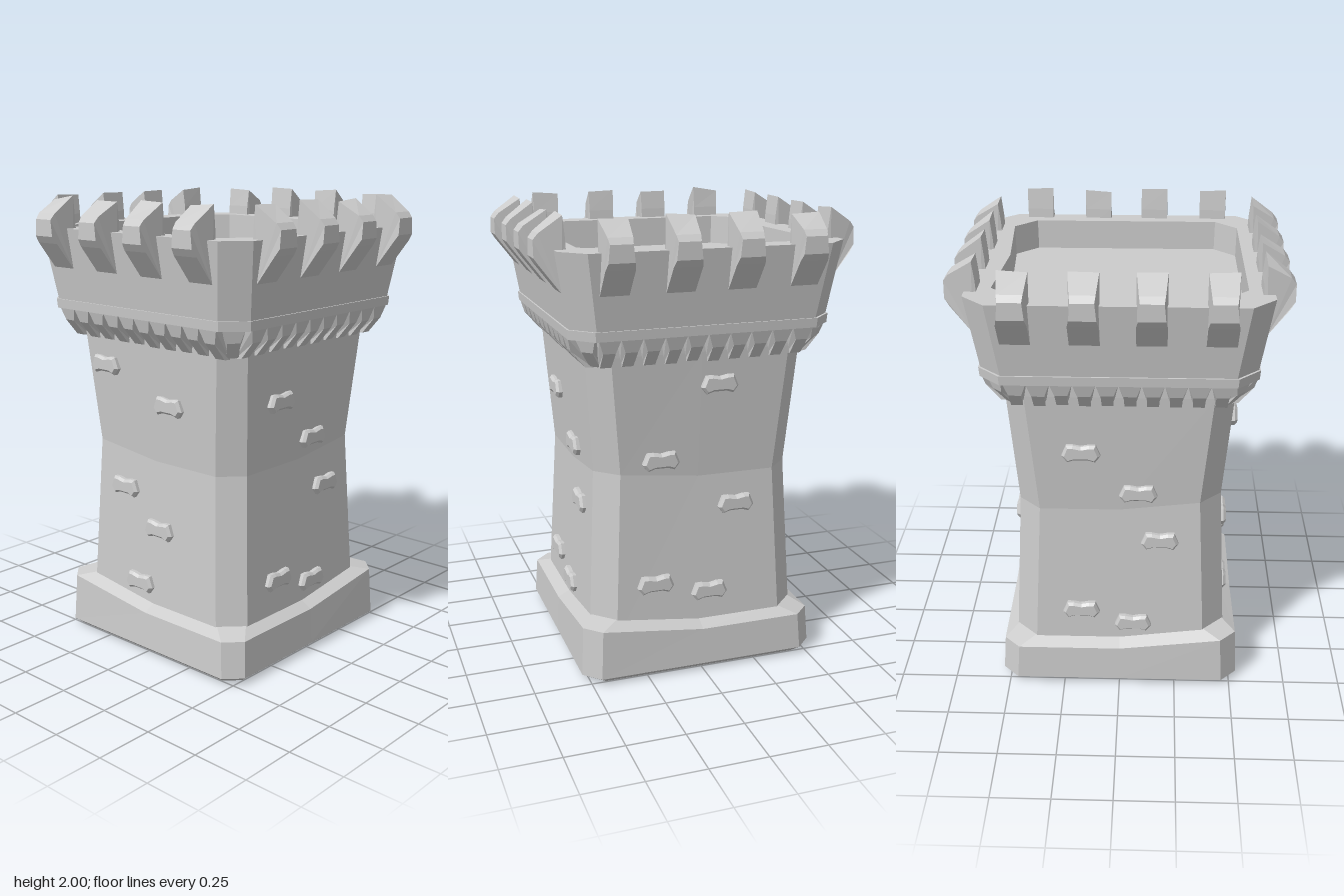
import * as THREE from 'three';

const stone = new THREE.MeshStandardMaterial({ color: 0xcccccc, flatShading: true });

function meshFromTriangles(name, tris) {
  const geo = new THREE.BufferGeometry().setFromPoints(tris);
  geo.computeVertexNormals();
  const mesh = new THREE.Mesh(geo, stone);
  mesh.name = name;
  return mesh;
}

// Square ring with cut corners and a midpoint per side; mids dents each side,
// rise lifts two opposite corners for a hand-hewn look.
function ring(y, h, c, { rise = 0, mids = [0, 0, 0, 0] } = {}) {
  const pts = [];
  for (let k = 0; k < 4; k++) {
    const e = h - c;
    for (const [u, d] of [[-e, h], [0, h + mids[k]], [e, h]]) {
      const p = new THREE.Vector3(u, 0, d).applyAxisAngle(new THREE.Vector3(0, 1, 0), k * Math.PI / 2);
      p.y = y + (u !== 0 && p.x * p.z < 0 ? rise : 0);
      pts.push(p);
    }
  }
  return pts;
}

// Skin a stack of rings, with optional flat ends.
function loft(name, rings, { bottom = false, top = false } = {}) {
  const tris = [];
  const n = rings[0].length;
  for (let r = 0; r < rings.length - 1; r++) {
    const a = rings[r], b = rings[r + 1];
    for (let i = 0; i < n; i++) {
      const j = (i + 1) % n;
      tris.push(a[i], a[j], b[j], a[i], b[j], b[i]);
    }
  }
  const cap = (pts, up) => {
    const mid = new THREE.Vector3(0, pts[1].y, 0);
    pts.forEach((p, i) => {
      const q = pts[(i + 1) % n];
      tris.push(mid, ...(up ? [p, q] : [q, p]));
    });
  };
  if (bottom) cap(rings[0], false);
  if (top) cap(rings[rings.length - 1], true);
  return meshFromTriangles(name, tris);
}

// Block from a side profile of [outward, height, halfWidth] points.
function block(name, profile, jitter = () => 0) {
  const L = profile.map(([z, y, w]) => new THREE.Vector3(-w, y + jitter(y), z));
  const R = profile.map(([z, y, w]) => new THREE.Vector3(w, y + jitter(y), z));
  const tris = [];
  for (let i = 0; i < L.length; i++) {
    const j = (i + 1) % L.length;
    tris.push(L[i], R[i], R[j], L[i], R[j], L[j]);
    if (i > 0 && j > 0) tris.push(L[0], L[i], L[j], R[0], R[j], R[i]);
  }
  return meshFromTriangles(name, tris);
}

// Bow-tie shaped brick with bevelled edges.
function brickGeometry() {
  const half = [[-0.07, -0.01], [-0.055, 0.027], [-0.035, 0.027], [0, 0.02], [0.035, 0.027], [0.055, 0.027], [0.07, -0.01]];
  const lower = [[0.055, -0.03], [0.03, -0.022], [-0.03, -0.022], [-0.055, -0.03]];
  const shape = new THREE.Shape([...half, ...lower].map(([x, y]) => new THREE.Vector2(x, y)));
  return new THREE.ExtrudeGeometry(shape, { depth: 0.03, bevelSize: 0.01, bevelThickness: 0.012, bevelSegments: 1 });
}

const MERLON = [
  [0.58, 1.69, 0.06], [0.665, 1.8, 0.06], [0.685, 1.83, 0.053], [0.685, 1.9, 0.046],
  [0.665, 1.925, 0.05], [0.57, 1.985, 0.06], [0.56, 1.9, 0.058], [0.555, 1.8, 0.058],
];
const BRACKET = [
  [0.45, 1.38, 0.022], [0.485, 1.385, 0.024], [0.545, 1.455, 0.026], [0.56, 1.512, 0.046], [0.45, 1.512, 0.046],
];
// Brick positions [along wall, height], as seen facing each side.
const FRONT = [[-0.265, 1.27], [0.105, 1.135], [-0.18, 0.725], [0.035, 0.57], [-0.075, 0.305]];
const FLANK = [[-0.16, 1.16], [0.08, 0.96], [0.175, 0.725], [-0.17, 0.37], [0.06, 0.305]];
const BACK = [[0.08, 1.28], [-0.17, 0.96], [0.17, 0.735], [-0.2, 0.41], [0.045, 0.35]];

const wallAt = (y) => y < 0.87
  ? THREE.MathUtils.mapLinear(y, 0.22, 0.87, 0.47, 0.437)
  : THREE.MathUtils.mapLinear(y, 0.87, 1.42, 0.437, 0.477);

export function createModel() {
  const tower = new THREE.Group();
  tower.name = 'tower';
  let seed = 7;
  const rand = () => (seed = (seed * 16807) % 2147483647) / 2147483647;

  // Plinth
  tower.add(loft('plinth', [
    ring(0, 0.495, 0.06), ring(0.03, 0.532, 0.07),
    ring(0.19, 0.522, 0.07, { rise: 0.055 }), ring(0.225, 0.455, 0.09, { rise: 0.045 }),
  ], { bottom: true }));

  // Waisted shaft
  tower.add(loft('shaft', [
    ring(0.18, 0.472, 0.095), ring(0.87, 0.437, 0.093, { rise: 0.04 }),
    ring(1.42, 0.477, 0.088), ring(1.52, 0.48, 0.088),
  ]));

  // Parapet with sunken roof floor
  const dent = { mids: [0, 0, -0.028, -0.028] };
  tower.add(loft('parapet', [
    ring(1.508, 0.46, 0.085), ring(1.508, 0.562, 0.09), ring(1.548, 0.565, 0.09), ring(1.548, 0.558, 0.09),
    ring(1.86, 0.606, 0.095), ring(1.86, 0.506, 0.095, dent), ring(1.73, 0.504, 0.095, dent),
  ], { top: true }));

  // Everything that repeats on each side
  const brickGeo = brickGeometry();
  ['front', 'left', 'back', 'right'].forEach((label, k) => {
    const side = new THREE.Group();
    side.name = label + 'Side';
    side.rotation.y = k * Math.PI / 2;

    // Merlons with slightly uneven tops
    for (const x of [-0.4, -0.13, 0.13, 0.4]) {
      const merlon = block('merlon', MERLON, (y) => (y > 1.95 ? (rand() - 0.4) * 0.022 : 0));
      merlon.position.x = x;
      side.add(merlon);
    }

    // Corbels under the parapet, plus one on the cut corner
    for (let i = 0; i < 10; i++) {
      const corbel = block('corbel', BRACKET);
      corbel.position.x = (i - 4.5) * 0.092;
      corbel.position.y = (rand() - 0.5) * 0.008;
      side.add(corbel);
    }
    const corner = new THREE.Group();
    corner.name = 'cornerCorbel';
    corner.rotation.y = Math.PI / 4;
    const cornerBlock = block('corbel', BRACKET);
    cornerBlock.position.z = 0.15;
    corner.add(cornerBlock);
    side.add(corner);

    // Protruding bricks
    for (const [x, y] of [FRONT, FLANK, BACK, FLANK][k]) {
      const brick = new THREE.Mesh(brickGeo, stone);
      brick.name = 'brick';
      brick.position.set(x, y, wallAt(y) - 0.015);
      side.add(brick);
    }
    tower.add(side);
  });
  return tower;
}
